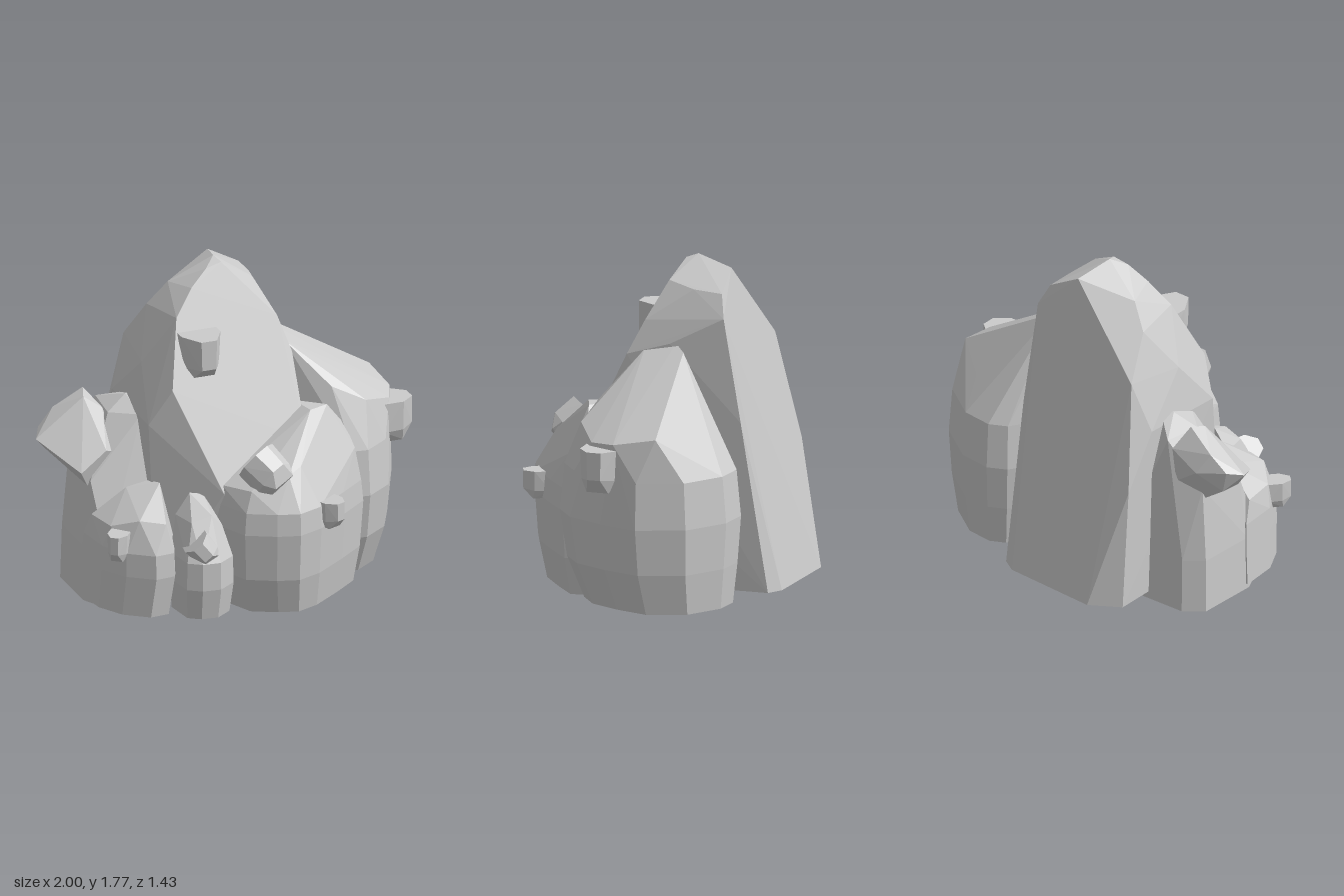
import * as THREE from 'three';
import { ConvexGeometry } from 'three/addons/geometries/ConvexGeometry.js';

const stone = new THREE.MeshStandardMaterial({ color: 0xcccccc, flatShading: true, side: THREE.DoubleSide });
const v = (x, y, z) => new THREE.Vector3(x, y, z);

function hull(name, points) {
  const mesh = new THREE.Mesh(new ConvexGeometry(points), stone);
  mesh.name = name;
  return mesh;
}

// Hull without its flat underside: a shell that is open at the ground.
function openHull(name, points) {
  const mesh = hull(name, points);
  const floor = Math.min(...points.map(p => p.y)) + 1e-4;
  const source = mesh.geometry.getAttribute('position');
  const kept = [];
  for (let i = 0; i < source.count; i += 3) {
    const corners = [i, i + 1, i + 2];
    if (corners.every(k => source.getY(k) < floor)) continue;
    for (const k of corners) kept.push(source.getX(k), source.getY(k), source.getZ(k));
  }
  mesh.geometry = new THREE.BufferGeometry();
  mesh.geometry.setAttribute('position', new THREE.Float32BufferAttribute(kept, 3));
  mesh.geometry.computeVertexNormals();
  return mesh;
}

// Boulder: a plan outline [x, z] repeated at levels [y, scale, shiftX, shiftZ],
// closed by the corners of a slanted top [x, y, z].
function boulder(name, outline, levels, top) {
  const cx = outline.reduce((s, p) => s + p[0], 0) / outline.length;
  const cz = outline.reduce((s, p) => s + p[1], 0) / outline.length;
  const points = top.map(p => v(...p));
  for (const [y, s, dx = 0, dz = 0] of levels)
    for (const [x, z] of outline)
      points.push(v(cx + (x - cx) * s + dx, y, cz + (z - cz) * s + dz));
  return openHull(name, points);
}

// Tall rock: leaning flat front and back, steep sides, rounded crown.
function spire() {
  const front = [
    [-0.09, 1.73, -0.08], [0, 1.75, -0.09], [0.16, 1.66, -0.05], [0.26, 1.46, 0.05], [0.31, 1.28, 0.135],
    [0.31, 0.85, 0.34], [0.2, 0.65, 0.43], [-0.2, 0.66, 0.43], [-0.39, 1.18, 0.185], [-0.3, 1.52, 0.02],
    [-0.19, 1.65, -0.04],
  ];
  const crown = [
    [-0.02, 1.77, -0.15], [0.2, 1.63, -0.2], [0.3, 1.35, -0.1], [-0.25, 1.63, -0.22],
    [-0.35, 1.5, -0.27], [-0.45, 1.25, -0.1], [-0.5, 0.98, 0.12], [-0.5, 1.0, -0.38],
  ];
  const back = [
    [0.03, 1.72, -0.35], [0.21, 1.62, -0.36], [0.27, 1.5, -0.39], [0.285, 0.95, -0.49],
    [-0.41, 1.28, -0.44], [-0.49, 0.7, -0.56],
  ];
  const foot = [
    [-0.5, 0.04, -0.62], [-0.34, 0.04, -0.72], [0.2, 0.04, -0.69], [0.28, 0.04, -0.64],
    [0.29, 0.04, 0.2], [-0.2, 0.04, 0.38], [-0.49, 0.04, 0.2],
  ];
  return openHull('tallRock', [...front, ...crown, ...back, ...foot].map(p => v(...p)));
}

// Small stone stud: flat top, tapered underside, narrow outer facet along +z.
function stud(name, position, size, rotation = [0, 0, 0]) {
  const points = [];
  for (const s of [-1, 1])
    points.push(
      v(s * 0.5, 0.5, -0.5), v(s * 0.5, 0.5, 0.1), v(s * 0.2, 0.5, 0.5),
      v(s * 0.5, -0.2, -0.5), v(s * 0.46, -0.2, 0.1), v(s * 0.18, -0.15, 0.5),
      v(s * 0.3, -0.5, -0.5), v(s * 0.3, -0.5, 0.15));
  const mesh = hull(name, points);
  mesh.position.set(...position);
  mesh.scale.set(...size);
  mesh.rotation.set(...rotation);
  return mesh;
}

export function createModel() {
  const model = new THREE.Group();
  model.name = 'rockCluster';

  model.add(spire());

  model.add(boulder('leftRock',
    [[0.3, -0.38], [0.38, -0.51], [0.48, -0.56], [0.66, -0.54], [0.88, -0.39], [0.97, -0.14],
      [0.9, 0.08], [0.8, 0.28], [0.65, 0.39], [0.56, 0.38], [0.25, 0.1]],
    [[0.03, 0.82, -0.01, -0.04], [0.25, 0.94, 0, -0.01], [0.5, 1], [0.75, 0.95]],
    [[0.28, 1.35, -0.13], [0.34, 1.32, -0.19], [0.3, 1.31, 0.04], [0.9, 0.98, -0.23], [0.92, 0.94, 0.0],
      [0.86, 0.93, 0.14], [0.5, 1.08, 0.22], [0.68, 0.99, 0.26], [0.45, 0.93, -0.4], [0.7, 0.9, -0.38]]));

  model.add(boulder('frontRock',
    [[-0.24, 0.38], [-0.15, 0.6], [0, 0.68], [0.12, 0.715], [0.26, 0.66], [0.45, 0.52],
      [0.61, 0.39], [0.59, 0.22], [0.3, 0.02], [-0.1, 0.1]],
    [[0.02, 0.87, 0.01, -0.035], [0.22, 0.96, 0, -0.01], [0.48, 1], [0.6, 0.97]],
    [[-0.2, 0.7, 0.4], [-0.1, 0.71, 0.57], [0.1, 0.78, 0.6], [0.18, 0.81, 0.57], [0.3, 1.02, 0.18],
      [0.33, 1.02, 0.34], [0.44, 1.02, 0.3], [0.55, 0.88, 0.28], [0.57, 0.78, 0.37]]));

  model.add(boulder('rightFrontRock',
    [[-0.83, 0.0], [-0.81, 0.22], [-0.73, 0.37], [-0.6, 0.47], [-0.49, 0.46], [-0.42, 0.3], [-0.42, 0.02]],
    [[0.03, 0.95, -0.02, -0.015], [0.25, 1], [0.38, 0.97]],
    [[-0.8, 0.5, 0.06], [-0.77, 0.5, 0.25], [-0.65, 0.55, 0.36], [-0.52, 0.53, 0.41],
      [-0.47, 0.68, 0.2], [-0.5, 0.66, 0.1], [-0.62, 0.64, 0.1]]));

  model.add(boulder('rightBackRock',
    [[-0.82, -0.32], [-0.72, -0.4], [-0.3, -0.41], [-0.25, 0.15], [-0.45, 0.2], [-0.76, 0.17], [-0.83, 0.02]],
    [[0, 1], [0.3, 0.97]],
    [[-0.78, 0.72, -0.3], [-0.78, 0.66, 0.0], [-0.6, 0.98, -0.37], [-0.62, 0.97, -0.15],
      [-0.5, 1.04, -0.2], [-0.4, 1.05, -0.2], [-0.48, 0.98, -0.03], [-0.64, 0.85, -0.06], [-0.45, 0.68, 0.1]]));

  model.add(boulder('smallFrontRock',
    [[-0.48, 0.36], [-0.46, 0.55], [-0.39, 0.6], [-0.29, 0.61], [-0.19, 0.54], [-0.18, 0.3]],
    [[0.03, 0.9, 0, -0.02], [0.2, 1], [0.35, 0.97]],
    [[-0.43, 0.54, 0.32], [-0.4, 0.54, 0.47], [-0.35, 0.65, 0.32], [-0.28, 0.64, 0.34],
      [-0.29, 0.57, 0.48], [-0.22, 0.5, 0.45]]));

  // Large angular stone leaning out of the right back boulder
  model.add(hull('rightTopStone', [
    [-0.7, 1.07, -0.3], [-0.73, 1.05, -0.22], [-0.63, 0.98, -0.2], [-0.86, 0.97, -0.33], [-1, 0.85, -0.22],
    [-0.95, 0.88, -0.31], [-0.64, 0.95, -0.38], [-0.8, 0.86, -0.38], [-0.84, 0.72, 0.02], [-0.6, 0.78, -0.05],
    [-0.69, 0.82, 0.0], [-0.79, 0.63, -0.02], [-0.73, 0.65, -0.05], [-0.91, 0.75, -0.29],
    [-0.77, 0.65, -0.28], [-0.65, 0.75, -0.36],
  ].map(p => v(...p))));

  // Studs set into the faces of the boulders
  model.add(
    stud('tallRockStud', [-0.2, 1.325, 0.09], [0.22, 0.25, 0.28]),
    stud('frontTopStud', [0.01, 0.81, 0.56], [0.22, 0.2, 0.16], [-0.8, 0, 0.5]),
    stud('frontLowStud', [0.33, 0.545, 0.63], [0.13, 0.15, 0.14], [0, 0.4, 0]),
    stud('leftRockStud', [0.91, 0.795, 0.08], [0.2, 0.23, 0.18], [0, Math.PI / 2, 0]),
    stud('rightLowStud', [-0.765, 0.415, 0.34], [0.11, 0.15, 0.13], [0, -0.7, 0]),
    stud('smallRockStud', [-0.36, 0.405, 0.54], [0.15, 0.14, 0.16], [0, -0.2, 0.7]));

  return model;
}
